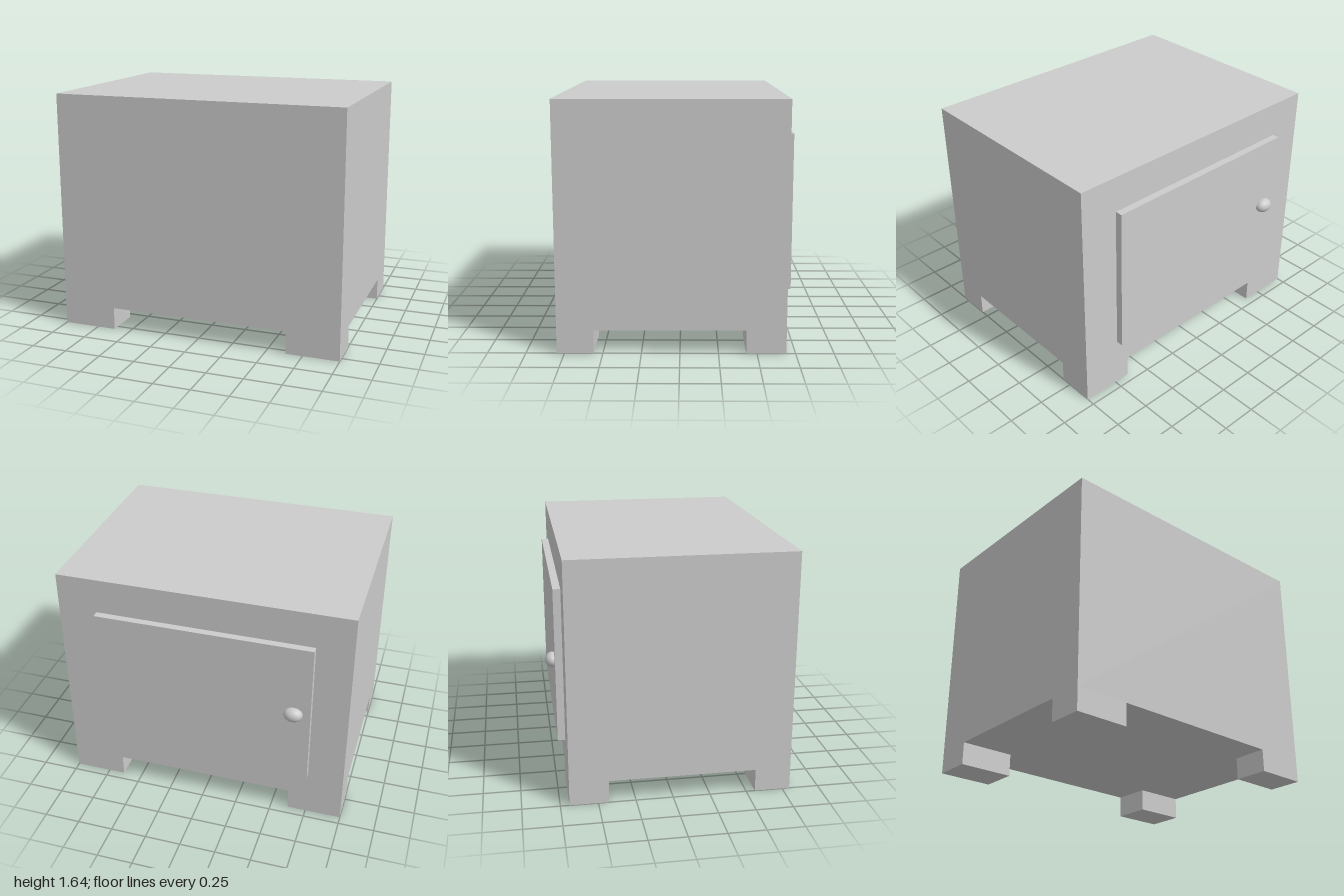
import * as THREE from 'three';

export function createModel() {
  const group = new THREE.Group();
  const material = new THREE.MeshStandardMaterial({ color: 0xcccccc });

  // Box given by its lower and upper limits on each axis
  function addBox(name, [x0, x1], [y0, y1], [z0, z1]) {
    const mesh = new THREE.Mesh(new THREE.BoxGeometry(x1 - x0, y1 - y0, z1 - z0), material);
    mesh.position.set((x0 + x1) / 2, (y0 + y1) / 2, (z0 + z1) / 2);
    mesh.name = name;
    group.add(mesh);
  }

  // Cabinet body
  addBox('body', [-1, 1], [0.155, 1.645], [-0.69, 0.8]);

  // Four corner feet, flush with the body
  const sidesX = { right: [-1, -0.62], left: [0.635, 1] };
  const sidesZ = { Front: [0.56, 0.8], Back: [-0.69, -0.43] };
  for (const [sideX, x] of Object.entries(sidesX)) {
    for (const [sideZ, z] of Object.entries(sidesZ)) {
      addBox(`${sideX}${sideZ}Foot`, x, [0, 0.155], z);
    }
  }

  // Raised door panel on the back
  addBox('door', [-0.755, 0.73], [0.355, 1.4], [-0.74, -0.69]);

  // Flattened round door knob
  const knob = new THREE.Mesh(new THREE.SphereGeometry(1, 24, 16), material);
  knob.scale.set(0.065, 0.05, 0.05);
  knob.position.set(-0.64, 0.89, -0.75);
  knob.name = 'doorKnob';
  group.add(knob);

  return group;
}
